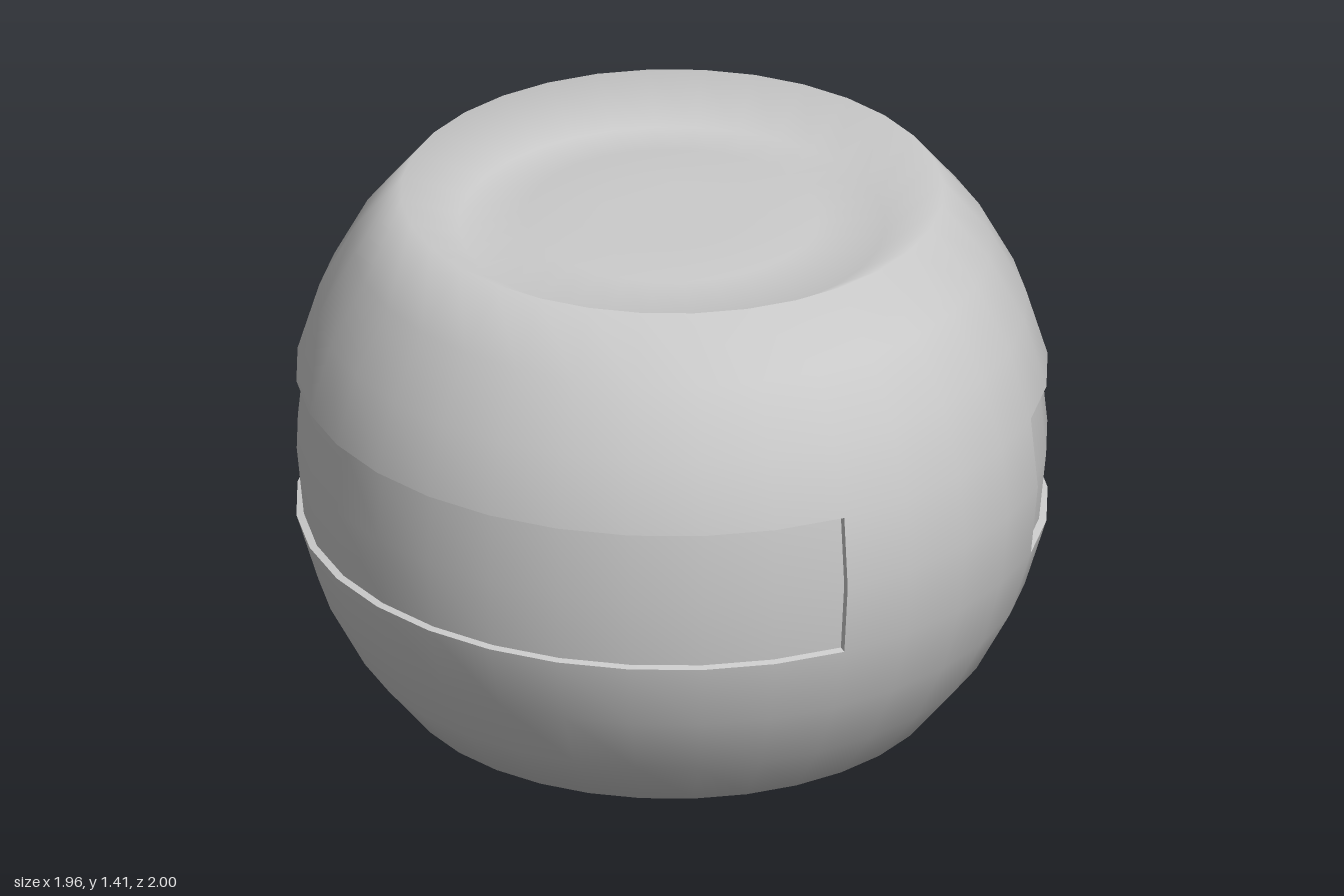
import * as THREE from 'three';

const SEGMENTS = 32;
const STEP = (Math.PI * 2) / SEGMENTS;
const MID = Math.SQRT1_2;   // height of the equator
const INSET = 0.98;         // recess scale relative to the body
// Point of the unit-sphere profile, k steps above the equator
const ring = (k, s = 1) =>
  new THREE.Vector2(Math.cos(k * STEP) * s, MID + Math.sin(k * STEP) * s);

// Facets sunk into the body: 13 on each side, leaving 4 solid in front and 2 behind
const RECESSES = [{ name: 'left', start: 2 }, { name: 'right', start: 17 }];
const COUNT = 13;

// Dish from its centre to its edge: radius, depth below the rim
const DISH = [[0, 0.068], [0.195, 0.068], [0.383, 0.072], [0.556, 0.093]];

// Lathe whose quads are dropped where skip(segment, row) is true
function openLathe(profile, skip) {
  const lathe = new THREE.LatheGeometry(profile, SEGMENTS);
  const rows = profile.length - 1;
  const source = Array.from(lathe.index.array);
  lathe.setIndex(source.filter((_, n) => {
    const quad = Math.floor(n / 6);
    return !skip(Math.floor(quad / rows), quad % rows);
  }));
  return lathe;
}

export function createModel() {
  const group = new THREE.Group();
  const material = new THREE.MeshStandardMaterial({ color: 0xcccccc });
  const thin = new THREE.MeshStandardMaterial({ color: 0xcccccc, side: THREE.DoubleSide });
  const add = (name, geometry, mat = material) => {
    const mesh = new THREE.Mesh(geometry, mat);
    mesh.name = name;
    group.add(mesh);
    return mesh;
  };

  // Full profile: truncated sphere with a shallow dish at each end
  const profile = DISH.map(([r, d]) => new THREE.Vector2(r, d));
  for (let k = -4; k <= 4; k++) profile.push(ring(k));
  for (const [r, d] of [...DISH].reverse()) profile.push(new THREE.Vector2(r, 2 * MID - d));

  // Body with the two side openings left out
  const bandRow = DISH.length + 3;
  add('body', openLathe(profile, (seg, row) =>
    (row === bandRow || row === bandRow + 1) &&
    RECESSES.some(({ start }) => seg >= start && seg < start + COUNT)));

  // Outline of the recess end walls
  const endShape = new THREE.Shape([
    ring(-1, INSET), ring(-1), ring(0), ring(1), ring(1, INSET), ring(0, INSET),
  ]);

  for (const { name, start } of RECESSES) {
    const sweep = (points) =>
      new THREE.LatheGeometry(points, COUNT, start * STEP, COUNT * STEP);

    // Sunken panel and the ledges along its lower and upper edge
    add(`${name}Panel`, sweep([-1, 0, 1].map((k) => ring(k, INSET))));
    add(`${name}LowerLedge`, sweep([ring(-1), ring(-1, INSET)]), thin);
    add(`${name}UpperLedge`, sweep([ring(1, INSET), ring(1)]), thin);

    // Upright walls at both ends
    for (const seg of [start, start + COUNT]) {
      const wall = add(`${name}EndWall`, new THREE.ShapeGeometry(endShape), thin);
      wall.rotation.y = seg * STEP - Math.PI / 2;
    }
  }
  return group;
}
